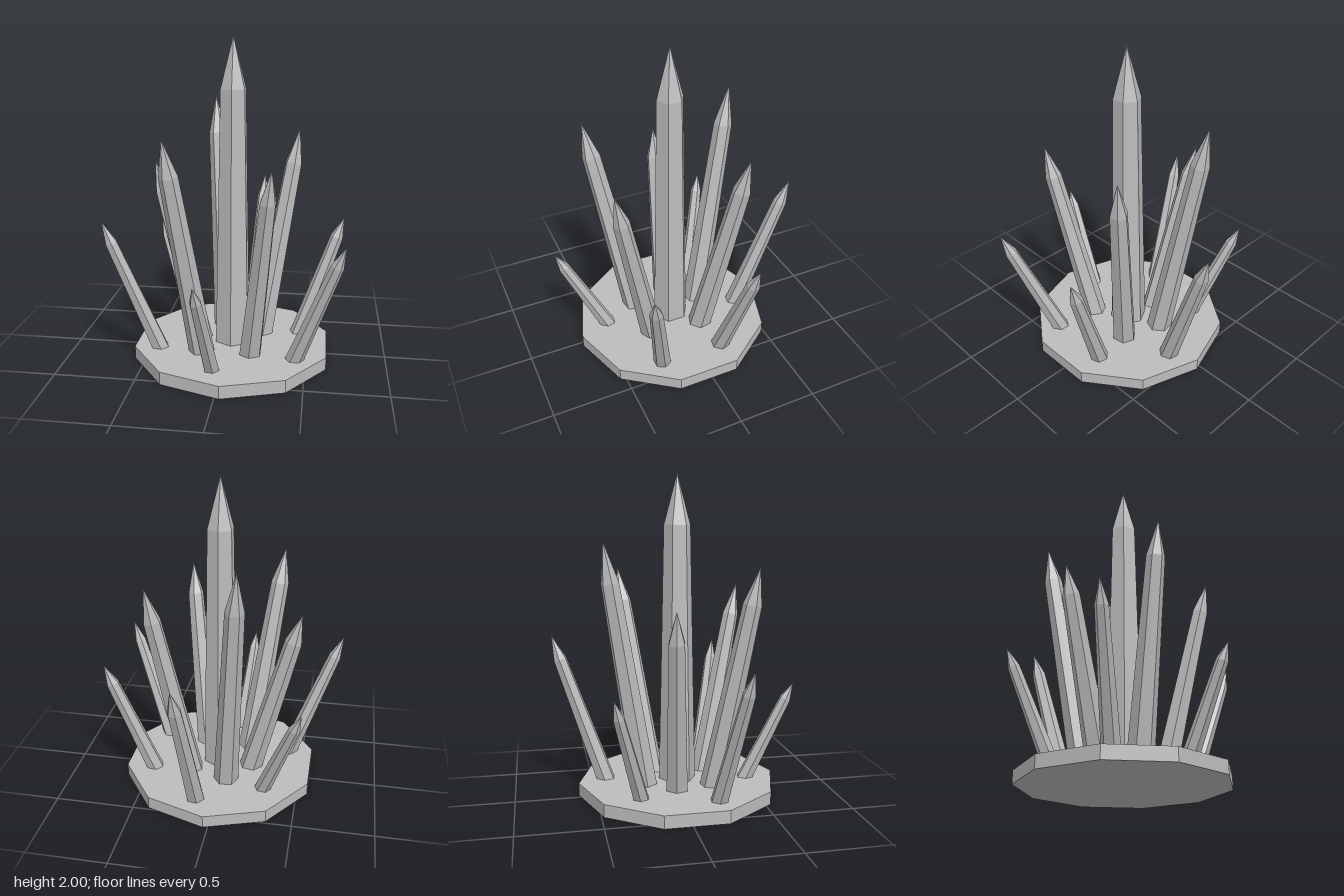
import * as THREE from 'three';

const CENTRE = { x: 0.03, z: 0.025 };
const TAPER = 0.71; // shoulder radius relative to foot radius
const POINT = 0.16; // share of the length taken by the pointed end

// Six-sided tapered prism with a pointed end, standing on the local origin.
function crystalGeometry(length, radius, twist) {
  const shoulder = length * (1 - POINT);
  const profile = [
    new THREE.Vector2(0, 0),
    new THREE.Vector2(radius, 0),
    new THREE.Vector2(radius * TAPER, shoulder),
    new THREE.Vector2(0, length),
  ];
  return new THREE.LatheGeometry(profile, 6, twist);
}

// foot: [x, z] of the foot's inner edge; tip: [x, y, z]
function addCrystal(group, material, name, foot, tip, radius, twist) {
  const out = new THREE.Vector2(tip[0] - foot[0], tip[2] - foot[1]).normalize();
  const base = new THREE.Vector3(foot[0] + out.x * radius, 0.05, foot[1] + out.y * radius);
  const axis = new THREE.Vector3(...tip).sub(base);
  const mesh = new THREE.Mesh(crystalGeometry(axis.length(), radius, twist), material);
  mesh.name = name;
  mesh.position.copy(base);
  // turn to the outward heading, then lean outward
  mesh.rotation.set(Math.atan2(Math.hypot(axis.x, axis.z), axis.y), Math.atan2(axis.x, axis.z), 0, 'YXZ');
  group.add(mesh);
}

export function createModel() {
  const model = new THREE.Group();
  model.name = 'crystalCluster';
  const stone = new THREE.MeshStandardMaterial({ color: 0xbcbcbc });
  stone.name = 'grey stone';
  stone.flatShading = true;

  // Ten-sided plate
  const plate = new THREE.Mesh(new THREE.CylinderGeometry(0.63, 0.63, 0.08, 10), stone);
  plate.name = 'basePlate';
  plate.position.set(CENTRE.x, 0.04, CENTRE.z);
  model.add(plate);

  // Upright central crystal
  const centre = new THREE.Mesh(crystalGeometry(1.95, 0.118, 0), stone);
  centre.name = 'centralCrystal';
  centre.position.set(CENTRE.x, 0.05, CENTRE.z);
  model.add(centre);

  const flat = Math.PI / 6, half = Math.PI / 12;

  // Inner ring of tall crystals
  [
    [[-0.01, -0.12], [-0.145, 1.6, -0.45], 0.08, half],
    [[-0.09, 0.15], [-0.32, 1.45, 0.45], 0.08, half],
    [[0.14, -0.06], [0.42, 1.41, -0.3], 0.077, 0],
    [[0.125, 0.15], [0.3, 1.3, 0.48], 0.072, flat],
    [[-0.1, 0], [-0.48, 1.22, -0.08], 0.075, 0],
  ].forEach((c, i) => addCrystal(model, stone, `innerCrystal${i + 1}`, ...c));

  // Outer ring of short, strongly leaning crystals
  [
    [[-0.35, 0.17], [-0.73, 0.92, 0.3], 0.055, flat],
    [[0.1, -0.36], [0.165, 1.01, -0.75], 0.06, flat],
    [[0.385, -0.12], [0.72, 0.85, -0.23], 0.057, flat],
    [[0.38, 0.23], [0.72, 0.86, 0.425], 0.055, flat],
    [[-0.24, -0.22], [-0.525, 0.745, -0.44], 0.05, flat],
    [[-0.03, 0.395], [-0.1, 0.7, 0.75], 0.05, flat],
  ].forEach((c, i) => addCrystal(model, stone, `outerCrystal${i + 1}`, ...c));

  return model;
}
